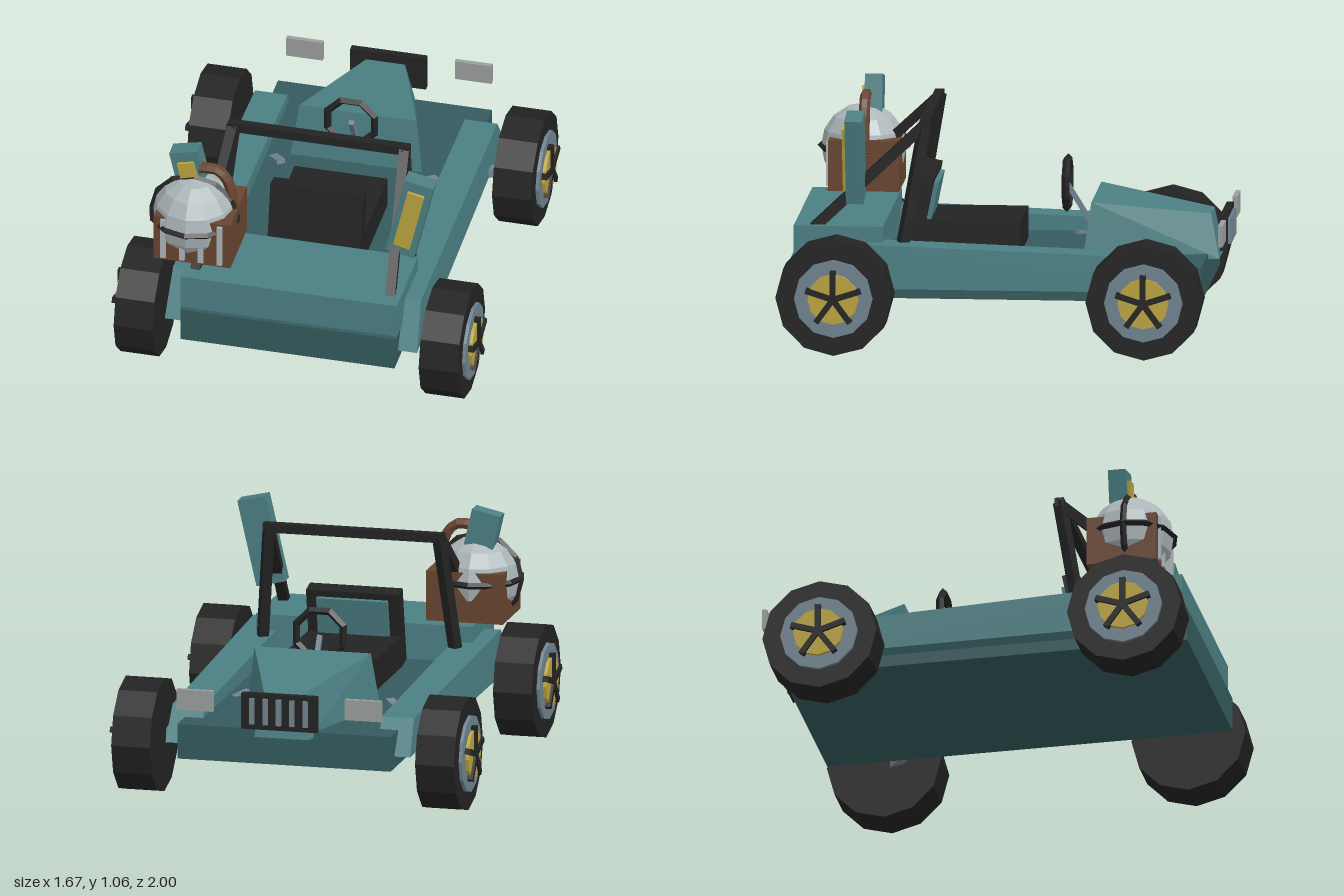
import * as THREE from 'three';
import { ConvexGeometry } from 'three/addons/geometries/ConvexGeometry.js';

const mat = (name, color) => {
  const m = new THREE.MeshStandardMaterial({ color, flatShading: true });
  m.name = name;
  return m;
};

export function createModel() {
  const teal = mat('teal', 0x4b7f83);
  const darkTeal = mat('dark teal', 0x345a5d);
  const black = mat('black', 0x232323);
  const steel = mat('blue grey steel', 0x708490);
  const gold = mat('gold', 0xbba540);
  const silver = mat('silver', 0xacb6b9);
  const brown = mat('brown', 0x684530);
  const lampGrey = mat('lamp grey', 0x9a9e9d);

  const model = new THREE.Group();
  model.name = 'buggy';

  const add = (name, geo, material, pos = [0, 0, 0], parent = model) => {
    const m = new THREE.Mesh(geo, material);
    m.name = name;
    m.position.set(...pos);
    parent.add(m);
    return m;
  };
  // Box given by its min and max corners
  const box = (name, a, b, material, parent) =>
    add(name, new THREE.BoxGeometry(b[0] - a[0], b[1] - a[1], b[2] - a[2]), material,
      a.map((v, i) => (v + b[i]) / 2), parent);
  // Square bar between two points
  const bar = (name, a, b, w, material) => {
    const p = new THREE.Vector3(...a), q = new THREE.Vector3(...b);
    const m = add(name, new THREE.BoxGeometry(w, w, p.distanceTo(q)), material);
    m.position.copy(p).add(q).multiplyScalar(0.5);
    m.lookAt(q);
    return m;
  };
  const hull = (name, pts, material) =>
    add(name, new ConvexGeometry(pts.map(p => new THREE.Vector3(...p))), material);

  // Body
  box('chassis', [-0.495, 0.215, -0.895], [0.495, 0.375, 0.965], darkTeal);
  box('rearDeck', [-0.5, 0.37, 0.54], [0.5, 0.54, 0.943], teal);

  // Tapered hood
  const hood = [];
  for (const s of [-1, 1]) hood.push(
    [s * 0.27, 0.625, -0.38], [s * 0.09, 0.55, -0.905],
    [s * 0.305, 0.37, -0.345], [s * 0.125, 0.35, -0.945]);
  hull('hood', hood, teal);

  // Grille and headlights
  box('grille', [-0.175, 0.395, -0.985], [0.175, 0.56, -0.953], black);
  for (let i = -2; i <= 2; i++)
    box('grilleBar', [i * 0.062 - 0.011, 0.42, -1], [i * 0.062 + 0.011, 0.54, -0.97], steel);

  // Seat
  box('seatCushion', [-0.215, 0.37, -0.055], [0.215, 0.52, 0.41], black);
  const seatBack = new THREE.Group();
  seatBack.name = 'seatBack';
  seatBack.position.set(0, 0.555, 0.4);
  seatBack.rotation.x = -0.2;
  model.add(seatBack);
  box('backrest', [-0.215, -0.175, -0.035], [0.215, 0.175, 0.04], black, seatBack);
  box('backrestPad', [-0.165, -0.03, -0.055], [0.165, 0.145, -0.03], teal, seatBack);

  // Steering
  const wheelRim = add('steeringWheel', new THREE.TorusGeometry(0.117, 0.018, 4, 8), black, [0, 0.665, -0.25]);
  wheelRim.rotation.z = Math.PI / 8;
  bar('steeringColumn', [0, 0.66, -0.25], [0, 0.44, -0.385], 0.022, steel);

  // Roll cage hoop
  box('rollBar', [-0.42, 0.97, 0.34], [0.42, 1.012, 0.382], black);

  for (const s of [-1, 1]) {
    box('headlight', [s * 0.39 - 0.085, 0.465, -0.99], [s * 0.39 + 0.085, 0.56, -0.968], lampGrey);

    // Side sill with sloping ends
    const sill = [];
    for (const [z, y, out] of [[-0.83, 0.27, 0.568], [-0.725, 0.425, 0.56], [0.78, 0.475, 0.573], [0.9, 0.27, 0.583]])
      sill.push([s * 0.41, y, z], [s * out, y, z]);
    hull('sideSill', sill, teal);

    // Cage posts and rear struts
    bar('rollPost', [s * 0.395, 0.995, 0.36], [s * 0.45, 0.42, 0.46], 0.045, black);
    bar('rollStrut', [s * 0.395, 0.99, 0.36], [s * 0.45, 0.52, 0.86], 0.045, black);

    // Front suspension arm
    bar('suspensionArm', [s * 0.69, 0.24, -0.69], [s * 0.325, 0.375, -0.26], 0.04, steel);

    // Leaning rear lamp post with gold lens
    const post = new THREE.Group();
    post.name = 'rearLamp';
    post.position.set(s * 0.5, 0.855, 0.665);
    post.rotation.z = -s * 0.225;
    model.add(post);
    box('lampCase', [-0.067, -0.2, -0.04], [0.067, 0.2, 0.04], teal, post);
    box('lampLens', [-0.039, -0.15, 0.03], [0.039, 0.15, 0.055], gold, post);

    // Wheels
    for (const z of [-0.66, 0.738]) {
      const wheel = new THREE.Group();
      wheel.name = 'wheel';
      wheel.position.set(s * 0.705, 0.262, z);
      model.add(wheel);
      const disc = (name, r, x0, x1, material) => {
        const d = add(name, new THREE.CylinderGeometry(r, r, x1 - x0, 12), material, [s * (x0 + x1) / 2, 0, 0], wheel);
        d.rotation.z = Math.PI / 2;
      };
      disc('tyre', 0.262, -0.09, 0.09, black);
      disc('rim', 0.177, 0, 0.105, steel);
      disc('hubPlate', 0.115, 0, 0.12, gold);
      for (let i = 0; i < 5; i++) {
        const spoke = new THREE.BoxGeometry(0.03, 0.13, 0.026);
        spoke.translate(0, 0.065, 0);
        add('spoke', spoke, black, [s * 0.117, 0, 0], wheel).rotation.x = i * Math.PI * 0.4;
      }
    }
  }

  // Crate with slats on the rear deck
  box('crate', [-0.645, 0.56, 0.535], [-0.29, 0.79, 0.855], brown);
  for (let i = 0; i < 4; i++) {
    const x = -0.6 + i * 0.087;
    box('crateSlat', [x - 0.012, 0.575, 0.85], [x + 0.012, 0.78, 0.868], silver);
  }

  // Ball held by two rings
  const ballAt = [-0.49, 0.735, 0.71];
  add('ball', new THREE.SphereGeometry(0.193, 12, 8), silver, ballAt);
  const ring = new THREE.TorusGeometry(0.195, 0.015, 4, 12);
  add('uprightRing', ring, black, ballAt);
  add('levelRing', ring, black, ballAt).rotation.x = Math.PI / 2;

  // Curved hose over the ball
  const hose = new THREE.CatmullRomCurve3([[-0.47, 0.975], [-0.39, 0.975], [-0.34, 0.92], [-0.315, 0.78]]
    .map(([x, y]) => new THREE.Vector3(x, y, 0.695)));
  add('hose', new THREE.TubeGeometry(hose, 8, 0.025, 6), brown);

  return model;
}
